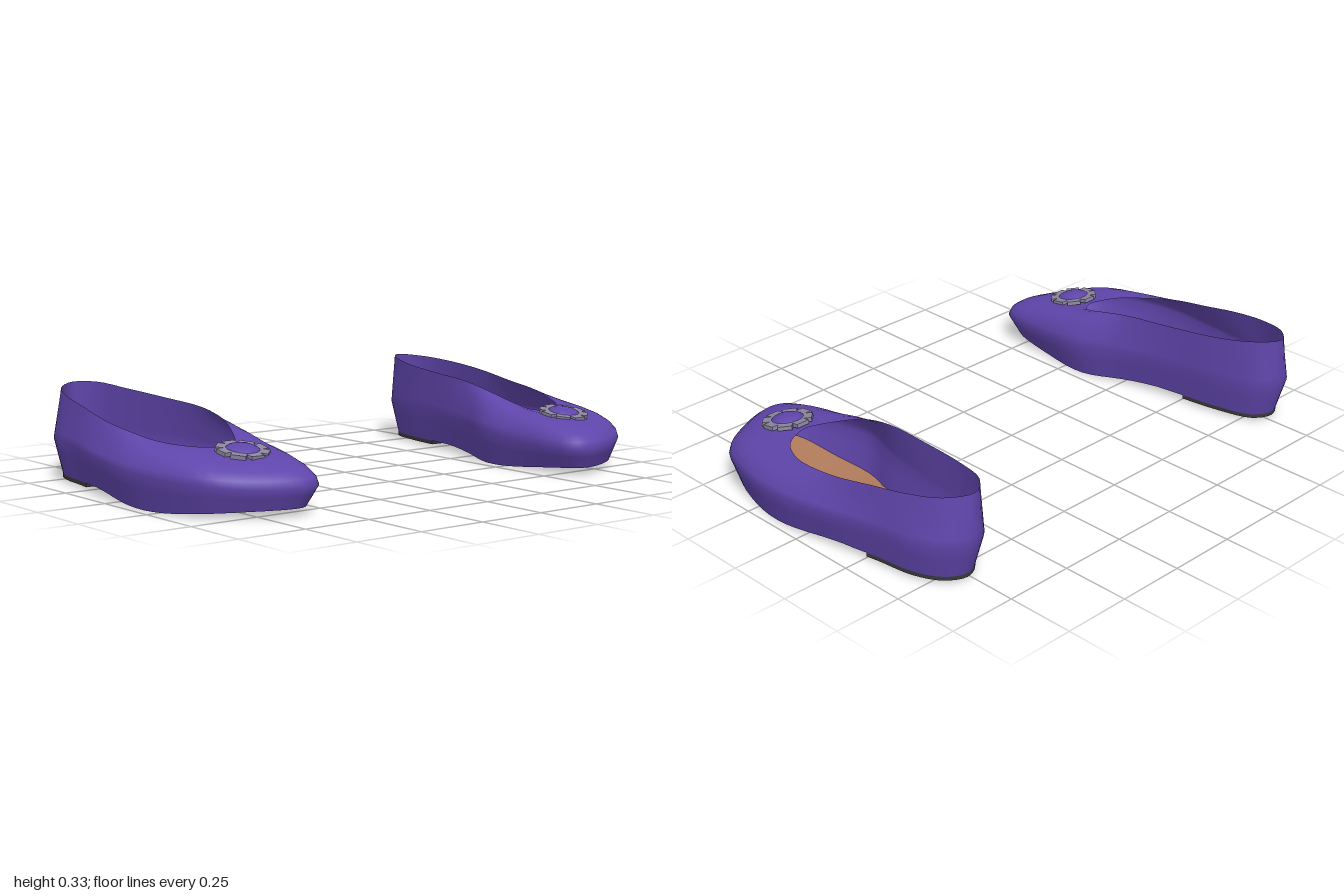
import * as THREE from 'three';

const N = 72; // samples around the shoe

function mat(name, color, side = THREE.FrontSide) {
  const m = new THREE.MeshStandardMaterial({ color, side });
  m.name = name;
  return m;
}

// Outlines run toe -> outer side -> heel -> inner side, as [x, y, z]
const WIDEST = [
  [0.64, 0.10, 0.61], [0.78, 0.10, 0.56], [0.91, 0.11, 0.46], [0.98, 0.12, 0.28], [1.0, 0.13, 0.1], [0.97, 0.14, -0.12],
  [0.93, 0.15, -0.32], [0.905, 0.15, -0.47], [0.85, 0.15, -0.57], [0.77, 0.15, -0.61], [0.69, 0.15, -0.57], [0.645, 0.15, -0.44],
  [0.61, 0.15, -0.22], [0.565, 0.14, 0], [0.51, 0.13, 0.17], [0.52, 0.11, 0.36], [0.545, 0.10, 0.54], [0.58, 0.10, 0.595],
];
const RIM = [
  [0.715, 0.2, 0.28], [0.77, 0.2, 0.265], [0.83, 0.205, 0.22], [0.88, 0.215, 0.13], [0.91, 0.235, 0.02], [0.915, 0.255, -0.12],
  [0.905, 0.285, -0.28], [0.885, 0.305, -0.42], [0.84, 0.32, -0.54], [0.76, 0.33, -0.6], [0.69, 0.33, -0.55], [0.645, 0.315, -0.42],
  [0.615, 0.30, -0.22], [0.597, 0.285, -0.02], [0.60, 0.26, 0.1], [0.63, 0.225, 0.2], [0.66, 0.205, 0.255], [0.69, 0.2, 0.275],
];

function sampleLoop(points) {
  const curve = new THREE.CatmullRomCurve3(points.map((p) => new THREE.Vector3(...p)), true);
  return Array.from({ length: N }, (_, i) => curve.getPoint(i / N));
}

// Gentle rise under the arch and toe
function soleHeight(z) {
  return z < -0.18 ? 0.028 : 0.017 - 0.013 * Math.cos((z - 0.2) * 8);
}

// Skin a list of equally long rows
function skin(rows, closed) {
  const w = rows[0].length, index = [];
  for (let r = 0; r < rows.length - 1; r++) {
    for (let i = 0; i < (closed ? w : w - 1); i++) {
      const j = (i + 1) % w;
      const a = r * w + i, b = r * w + j, c = b + w, d = a + w;
      index.push(a, b, c, a, c, d);
    }
  }
  const g = new THREE.BufferGeometry().setFromPoints(rows.flat());
  g.setIndex(index);
  g.computeVertexNormals();
  return g;
}

function makeShoe(name, mats) {
  const shoe = new THREE.Group();
  shoe.name = name;
  const add = (part, geometry, material, parent = shoe) => {
    const mesh = new THREE.Mesh(geometry, material);
    mesh.name = part;
    parent.add(mesh);
    return mesh;
  };

  const widest = sampleLoop(WIDEST), rim = sampleLoop(RIM);
  const edge = widest.map((p) => {
    const z = p.z * 0.94;
    return new THREE.Vector3(0.76 + (p.x - 0.76) * 0.87, soleHeight(z), z);
  });

  // Upper: flared lower wall, then rounded over the toe and straight at the heel
  const rows = [edge, edge.map((p, i) => p.clone().lerp(widest[i], 0.6)), widest];
  for (let s = 1; s <= 6; s++) {
    const a = (s / 6) * Math.PI / 2;
    rows.push(widest.map((p, i) => {
      const toe = THREE.MathUtils.smoothstep(p.z, -0.15, 0.45);
      const across = THREE.MathUtils.lerp(s / 6, 1 - Math.cos(a), toe);
      const up = THREE.MathUtils.lerp(s / 6, Math.sin(a), toe);
      const q = p.clone().lerp(rim[i], across);
      q.y = THREE.MathUtils.lerp(p.y, rim[i].y, up);
      return q;
    }));
  }
  add('upper', skin(rows, true), mats.upper);

  // Sole: rungs joining the outer and inner edges
  const rungs = [];
  for (let i = 0; i <= N / 2; i++) {
    const rung = [];
    for (let k = 0; k <= 4; k++) rung.push(edge[i].clone().lerp(edge[(N - i) % N], k / 4));
    rungs.push(rung);
  }
  add('sole', skin(rungs, false), mats.sole);

  // Heel pad, visible inside and underneath
  const outline = edge.filter((p) => p.z < -0.22)
    .map((p) => new THREE.Vector2(p.x, -Math.min(p.z, -0.25)));
  const pad = new THREE.ExtrudeGeometry(new THREE.Shape(outline), { depth: 0.022, bevelEnabled: false });
  pad.rotateX(-Math.PI / 2);
  add('heelPad', pad, mats.heel).position.y = 0.014;

  // Toe ornament: a domed button in a ring of square petals
  const ornament = new THREE.Group();
  ornament.name = 'toeOrnament';
  ornament.position.set(0.715, 0.195, 0.375);
  ornament.rotation.x = 0.17;
  shoe.add(ornament);
  const button = add('button', new THREE.SphereGeometry(0.062, 16, 10), mats.upper, ornament);
  button.scale.y = 0.4;
  const petalShape = new THREE.BoxGeometry(0.05, 0.014, 0.036);
  for (let i = 0; i < 8; i++) {
    const a = (i / 8) * Math.PI * 2;
    const petal = add('petal', petalShape, mats.trim, ornament);
    petal.position.set(Math.sin(a) * 0.068, 0.003, Math.cos(a) * 0.068);
    petal.rotation.y = a;
  }
  return shoe;
}

export function createModel() {
  const mats = {
    upper: mat('purple upper', 0x5f45ab, THREE.DoubleSide),
    sole: mat('tan sole', 0xb07b5b, THREE.DoubleSide),
    heel: mat('black heel', 0x383838),
    trim: mat('grey lavender trim', 0x8c86a0),
  };
  const model = new THREE.Group();
  model.name = 'pairOfFlatShoes';
  const left = makeShoe('leftShoe', mats);
  const right = makeShoe('rightShoe', mats);
  right.scale.x = -1;
  model.add(left, right);
  return model;
}
